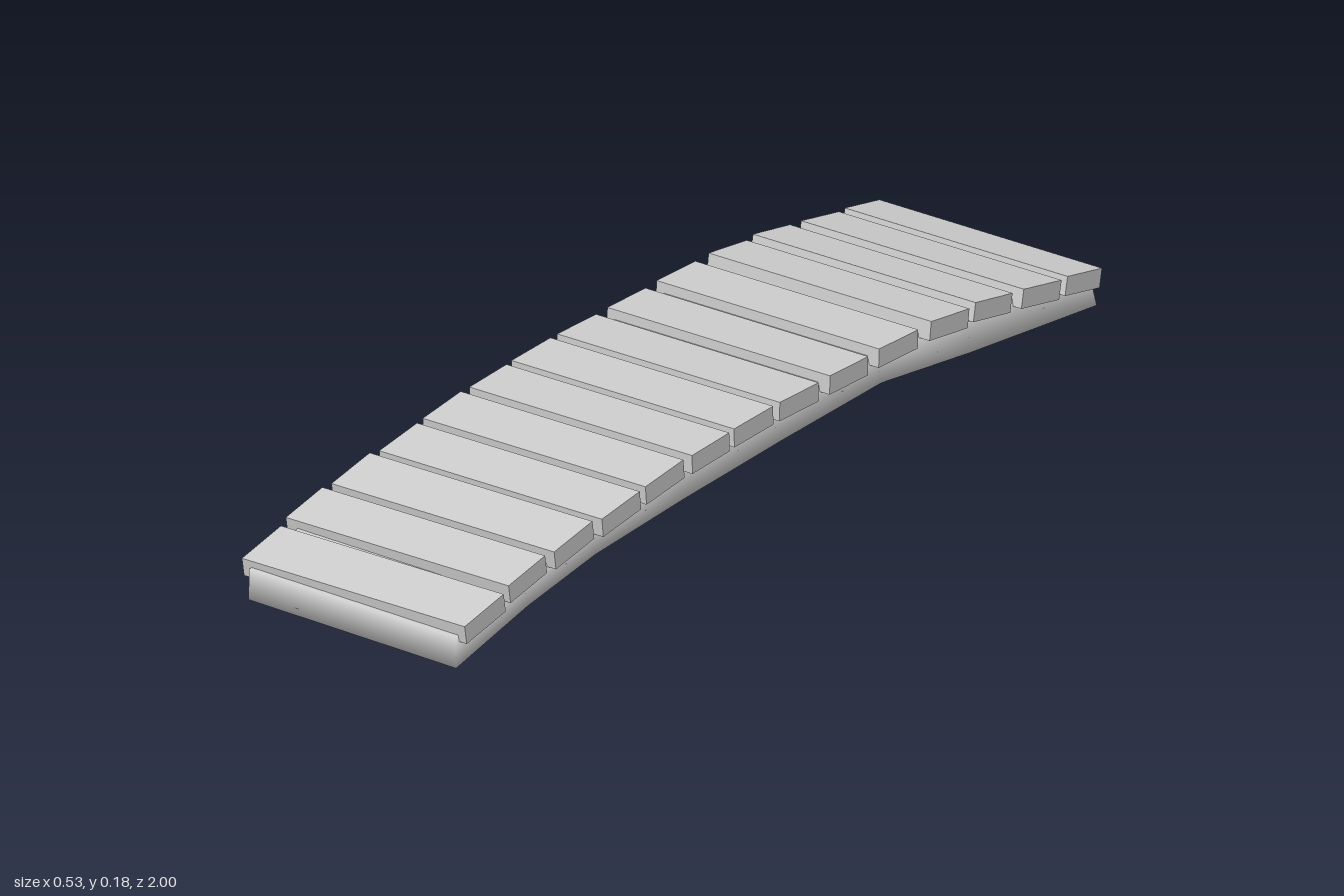
import * as THREE from 'three';

const material = new THREE.MeshStandardMaterial({ color: 0xcccccc, side: THREE.DoubleSide });

// Planks from back to front: [z back, z front, top y back, top y front, x offset]
const PLANKS = [
  [-1.0, -0.885, 0.088, 0.112, -0.007],
  [-0.87, -0.745, 0.112, 0.138, -0.004],
  [-0.727, -0.605, 0.136, 0.16, -0.011],
  [-0.578, -0.454, 0.162, 0.18, 0],
  [-0.42, -0.297, 0.177, 0.182, -0.001],
  [-0.263, -0.143, 0.18, 0.184, 0],
  [-0.109, 0.013, 0.183, 0.187, 0],
  [0.032, 0.154, 0.187, 0.185, 0],
  [0.172, 0.289, 0.185, 0.181, 0.003],
  [0.308, 0.43, 0.18, 0.168, 0],
  [0.446, 0.568, 0.167, 0.153, 0.002],
  [0.589, 0.714, 0.159, 0.139, 0],
  [0.729, 0.849, 0.139, 0.118, -0.005],
  [0.867, 0.995, 0.113, 0.09, 0.002],
];

// Base sections: [z, bottom y, top y, left/right top x, left/right bottom x, roll]
const SECTIONS = [
  [-0.99, 0.015, 0.07, -0.245, 0.23, -0.255, 0.245, 0],
  [-0.6, 0.062, 0.139, -0.242, 0.23, -0.255, 0.245, 0],
  [-0.32, 0.102, 0.161, -0.24, 0.23, -0.25, 0.245, 0],
  [0, 0.098, 0.167, -0.24, 0.23, -0.25, 0.245, 0],
  [0.3, 0.09, 0.16, -0.24, 0.23, -0.25, 0.245, 0],
  [0.57, 0.08, 0.135, -0.24, 0.232, -0.247, 0.245, 0.002],
  [0.78, 0.053, 0.109, -0.238, 0.235, -0.242, 0.244, 0.004],
  [1.0, 0.008, 0.07, -0.235, 0.241, -0.236, 0.243, 0.005],
];

// Smooth-shaded arched slab lofted through four-cornered sections
function createBase() {
  const positions = [];
  const index = [];
  for (const [z, bottom, top, xt0, xt1, xb0, xb1, roll] of SECTIONS) {
    positions.push(xb0, bottom + roll, z, xb1, bottom - roll, z);
    positions.push(xt1, top - roll, z, xt0, top + roll, z);
  }
  const last = (SECTIONS.length - 1) * 4;
  for (let i = 0; i < last; i += 4) {
    for (let k = 0; k < 4; k++) {
      const a = i + k, b = i + ((k + 1) % 4);
      index.push(a, b, b + 4, a, b + 4, a + 4);
    }
  }
  index.push(0, 2, 1, 0, 3, 2); // back end
  index.push(last, last + 1, last + 2, last, last + 2, last + 3); // front end
  const geometry = new THREE.BufferGeometry();
  geometry.setAttribute('position', new THREE.Float32BufferAttribute(positions, 3));
  geometry.setIndex(index);
  geometry.computeVertexNormals();
  const mesh = new THREE.Mesh(geometry, material);
  mesh.name = 'archedBase';
  return mesh;
}

// Flat board tilted to follow the arch
function createPlank([z0, z1, y0, y1, x], i) {
  const thickness = 0.038;
  const tilt = Math.atan2(y0 - y1, z1 - z0);
  const length = Math.hypot(z1 - z0, y1 - y0) - thickness * Math.abs(Math.sin(tilt));
  const mesh = new THREE.Mesh(new THREE.BoxGeometry(0.514, thickness, length), material);
  mesh.position.set(x, (y0 + y1) / 2 - thickness / 2, (z0 + z1) / 2);
  mesh.rotation.x = tilt;
  mesh.name = `plank${i + 1}`;
  return mesh;
}

export function createModel() {
  const bridge = new THREE.Group();
  bridge.name = 'plankBridge';
  const deck = new THREE.Group();
  deck.name = 'deck';
  PLANKS.forEach((p, i) => deck.add(createPlank(p, i)));
  bridge.add(createBase(), deck);
  return bridge;
}
